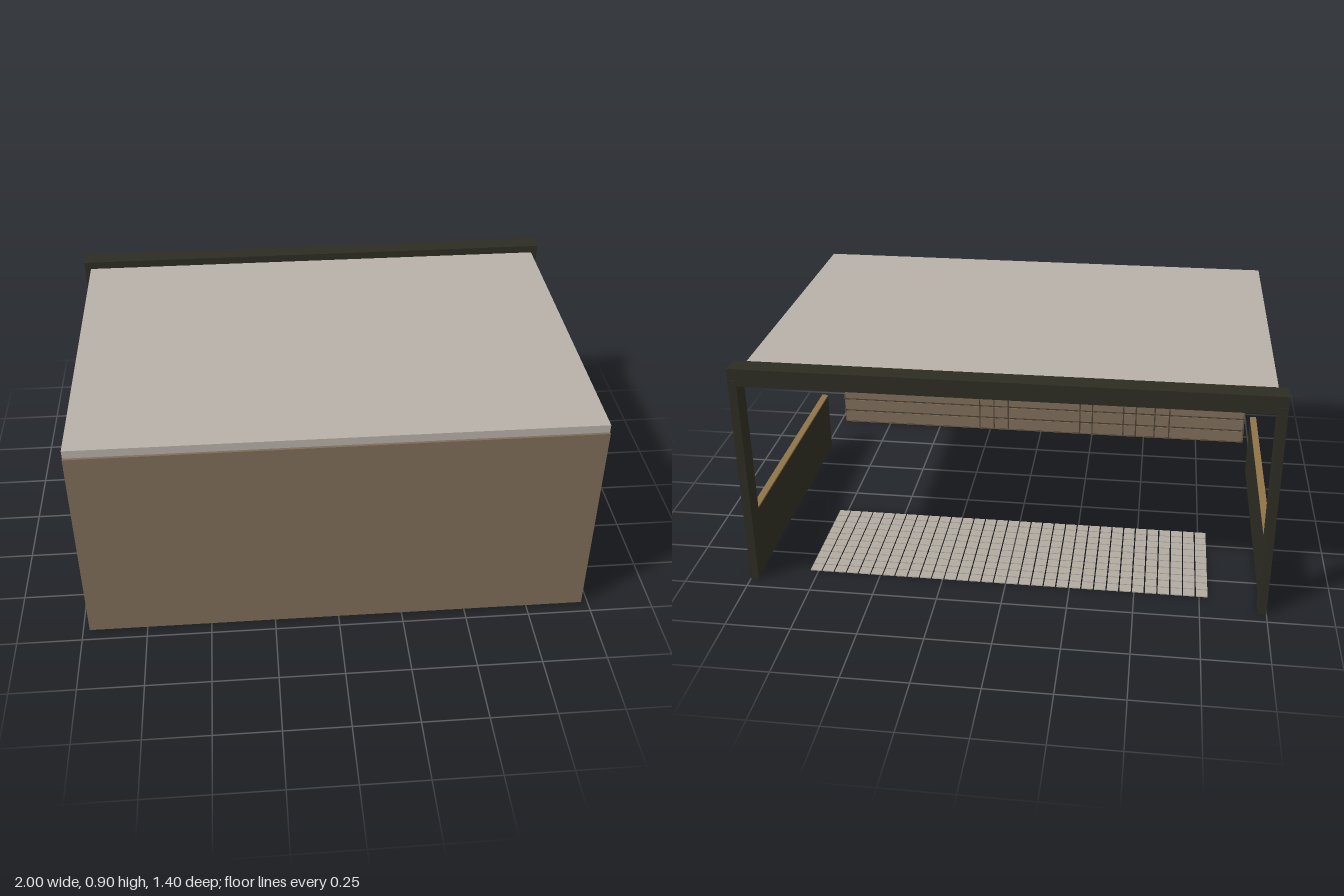
import * as THREE from 'three';
import { mergeGeometries } from 'three/addons/utils/BufferGeometryUtils.js';

const mat = (name, color) => {
  const m = new THREE.MeshStandardMaterial({ color });
  m.name = name;
  return m;
};

// Box geometry given by its extents on each axis
function span(x0, x1, y0, y1, z0, z1) {
  const g = new THREE.BoxGeometry(x1 - x0, y1 - y0, z1 - z0);
  g.translate((x0 + x1) / 2, (y0 + y1) / 2, (z0 + z1) / 2);
  return g;
}

export function createModel() {
  const root = new THREE.Group();
  const wallTan = mat('wall tan', 0x7d6c58);
  const roofGrey = mat('roof grey', 0xb6b0a7);
  const darkFrame = mat('dark frame', 0x2d2c22);
  const capWood = mat('cap wood', 0x8e7348);
  const cabinetBrown = mat('cabinet brown', 0x50423a);
  const grooveBrown = mat('groove brown', 0x4a3f32);
  const bronze = mat('bronze', 0x5e4c36);
  const tileGrey = mat('tile grey', 0xb0a9a0);

  const add = (name, material, ...geos) => {
    const mesh = new THREE.Mesh(geos.length > 1 ? mergeGeometries(geos) : geos[0], material);
    mesh.name = name;
    root.add(mesh);
    return mesh;
  };

  // Roof slab and the lowered ceiling strip beside the frame
  add('roof', roofGrey, span(-0.975, 0.975, 0.84, 0.872, -0.63, 0.69));
  add('ceilingStrip', roofGrey, span(-0.97, 0.97, 0.825, 0.84, -0.62, -0.535));

  // Portal frame
  add('frameBeam', darkFrame, span(-1, 1, 0.835, 0.903, -0.697, -0.62));
  for (const s of [-1, 1]) {
    const side = s < 0 ? 'right' : 'left';
    const xs = (a, b) => (s < 0 ? [-b, -a] : [a, b]);
    add(side + 'Post', darkFrame, span(...xs(0.968, 1), 0, 0.86, -0.7, -0.62));
    add(side + 'LowWall', darkFrame, span(...xs(0.974, 0.999), 0, 0.268, -0.65, 0.415));
    add(side + 'WallCap', capWood, span(...xs(0.973, 1), 0.268, 0.275, -0.655, 0.413));
  }

  // Front wall with plank cladding on its inside
  add('frontWall', wallTan, span(-0.975, 0.975, 0, 0.84, 0.689, 0.7));
  add('plankBacking', grooveBrown, span(-0.972, 0.972, 0.004, 0.552, 0.6865, 0.689));
  const seams = [-0.972, -0.62, -0.55, -0.46, -0.4, -0.25, -0.19, 0.16, 0.23, 0.3, 0.972];
  const planks = [];
  const rows = 9, pitch = 0.548 / rows;
  for (let r = 0; r < rows; r++) {
    for (let i = 0; i < seams.length - 1; i++) {
      const y = 0.004 + r * pitch;
      planks.push(span(seams[i] + 0.003, seams[i + 1] - 0.003, y + 0.004, y + pitch - 0.004, 0.683, 0.687));
    }
  }
  add('planks', wallTan, ...planks);

  // Wall cabinets: a long carcass with framed doors
  add('cabinetCarcass', cabinetBrown, span(-0.94, 0.94, 0.475, 0.81, 0.625, 0.675));
  const doors = 10, w = 1.88 / doors, doorParts = [];
  for (let i = 0; i < doors; i++) {
    const a = -0.94 + i * w + 0.002, b = a + w - 0.004, f = 0.018;
    doorParts.push(
      span(a, a + f, 0.48, 0.805, 0.612, 0.625),
      span(b - f, b, 0.48, 0.805, 0.612, 0.625),
      span(a + f, b - f, 0.48, 0.48 + f, 0.612, 0.625),
      span(a + f, b - f, 0.805 - f, 0.805, 0.612, 0.625)
    );
  }
  add('cabinetDoors', cabinetBrown, ...doorParts);

  // Tiled floor panel
  const tiles = [], nx = 32, nz = 10, x0 = -0.785, z0 = -0.62;
  const tx = 1.57 / nx, tz = 0.465 / nz, gap = 0.0025;
  for (let i = 0; i < nx; i++) {
    for (let j = 0; j < nz; j++) {
      const x = x0 + i * tx, z = z0 + j * tz;
      tiles.push(span(x + gap, x + tx - gap, 0, 0.004, z + gap, z + tz - gap));
    }
  }
  add('floorTiles', tileGrey, ...tiles);

  // Square ceiling spots
  for (const z of [-0.455, 0.272]) {
    for (const x of [-0.52, 0, 0.52]) {
      add('spotFrame', bronze, span(x - 0.02, x + 0.02, 0.834, 0.841, z - 0.02, z + 0.02));
      add('spotLens', roofGrey, span(x - 0.01, x + 0.01, 0.8325, 0.836, z - 0.01, z + 0.01));
    }
  }

  // Row of pendant lamps: canopy, rod and foot
  const disc = (r, y0, y1) => new THREE.CylinderGeometry(r, r, y1 - y0, 16).translate(0, (y0 + y1) / 2, 0);
  const pendant = mergeGeometries([disc(0.015, 0.833, 0.841), disc(0.0035, 0.738, 0.836), disc(0.011, 0.734, 0.741)]);
  for (let i = 0; i < 6; i++) {
    add('pendantLamp', bronze, pendant).position.set(-0.7 + i * 0.28, 0, -0.047);
  }

  return root;
}
